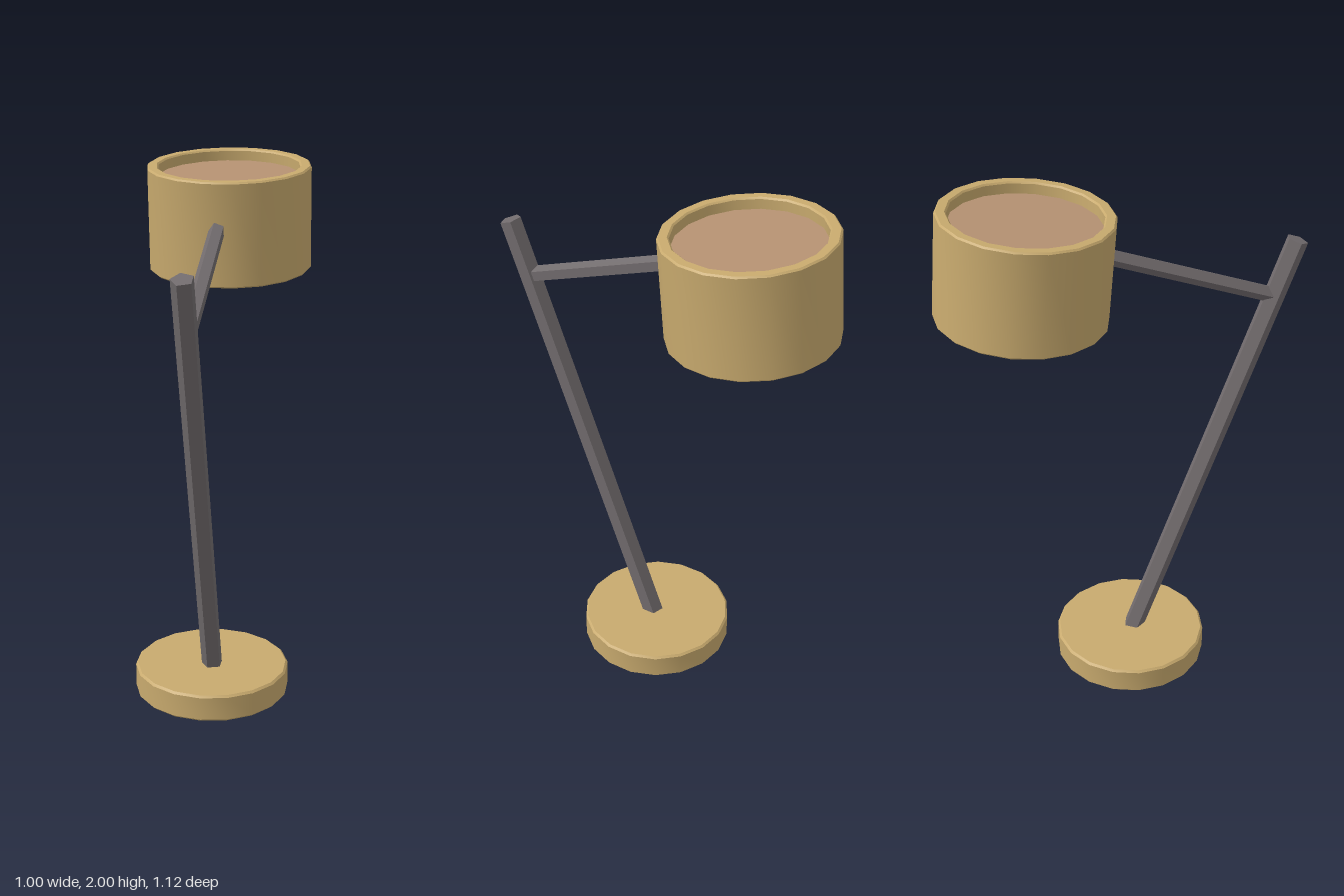
import * as THREE from 'three';
import { toCreasedNormals } from 'three/addons/utils/BufferGeometryUtils.js';

const brass = new THREE.MeshStandardMaterial({ color: 0xc8aa6e });
const steel = new THREE.MeshStandardMaterial({ color: 0x726c6e, flatShading: true });
const diffuserMat = new THREE.MeshStandardMaterial({ color: 0xb59272 });

// Horizontal axis across the plane in which the lamp leans
const across = new THREE.Vector3(-0.76, 0, -0.65).normalize();

// Lathed part with smooth sides and sharp bevels; profile is [radius, y]
function turned(name, profile, phiStart, material) {
  const points = profile.map(([r, y]) => new THREE.Vector2(r, y));
  const lathe = new THREE.LatheGeometry(points, 18, phiStart);
  const mesh = new THREE.Mesh(toCreasedNormals(lathe, Math.PI / 6), material);
  mesh.name = name;
  return mesh;
}

// Five-sided rod between two points, one ridge facing sideways
function rod(name, from, to, radius) {
  const dir = to.clone().sub(from);
  const geometry = new THREE.CylinderGeometry(radius, radius, dir.length(), 5);
  const mesh = new THREE.Mesh(geometry, steel);
  dir.normalize();
  const side = new THREE.Vector3().crossVectors(dir, across).normalize();
  const ridge = new THREE.Vector3().crossVectors(side, dir);
  mesh.quaternion.setFromRotationMatrix(new THREE.Matrix4().makeBasis(side, dir, ridge));
  mesh.position.addVectors(from, to).multiplyScalar(0.5);
  mesh.name = name;
  return mesh;
}

export function createModel() {
  const lamp = new THREE.Group();
  lamp.name = 'deskLamp';

  // Round foot with small bevels
  const b = 0.008;
  const base = turned('base', [
    [0, 0], [0.295 - b, 0], [0.295, b], [0.295, 0.105 - b], [0.295 - b, 0.105], [0, 0.105],
  ], 0, brass);
  base.position.set(-0.077, 0, 0.05);
  lamp.add(base);

  // Leaning pole and the arm that carries the shade
  lamp.add(rod('pole', new THREE.Vector3(-0.073, 0.05, 0.052), new THREE.Vector3(-0.469, 1.75, 0.521), 0.041));
  lamp.add(rod('arm', new THREE.Vector3(-0.42, 1.54, 0.462), new THREE.Vector3(0.03, 1.803, -0.064), 0.031));

  // Tilted shade: an open ring wall with a recessed diffuser
  const head = new THREE.Group();
  head.name = 'lampHead';
  const R = 0.31, r = 0.268, h = 0.196, c = 0.006;
  head.add(turned('shade', [
    [r, -h + c], [r + c, -h], [R - c, -h], [R, -h + c],
    [R, h - c], [R - c, h], [r + c, h], [r, h - c], [r, -h + c],
  ], Math.PI / 18, brass));
  head.add(turned('diffuser', [
    [0, 0.055], [r, 0.055], [r, 0.153], [0, 0.153],
  ], Math.PI / 18, diffuserMat));
  head.position.set(0.183, 1.78, -0.2425);
  head.quaternion.setFromUnitVectors(
    new THREE.Vector3(0, 1, 0),
    new THREE.Vector3(-0.05, 1, 0.057).normalize(),
  );
  lamp.add(head);

  return lamp;
}
